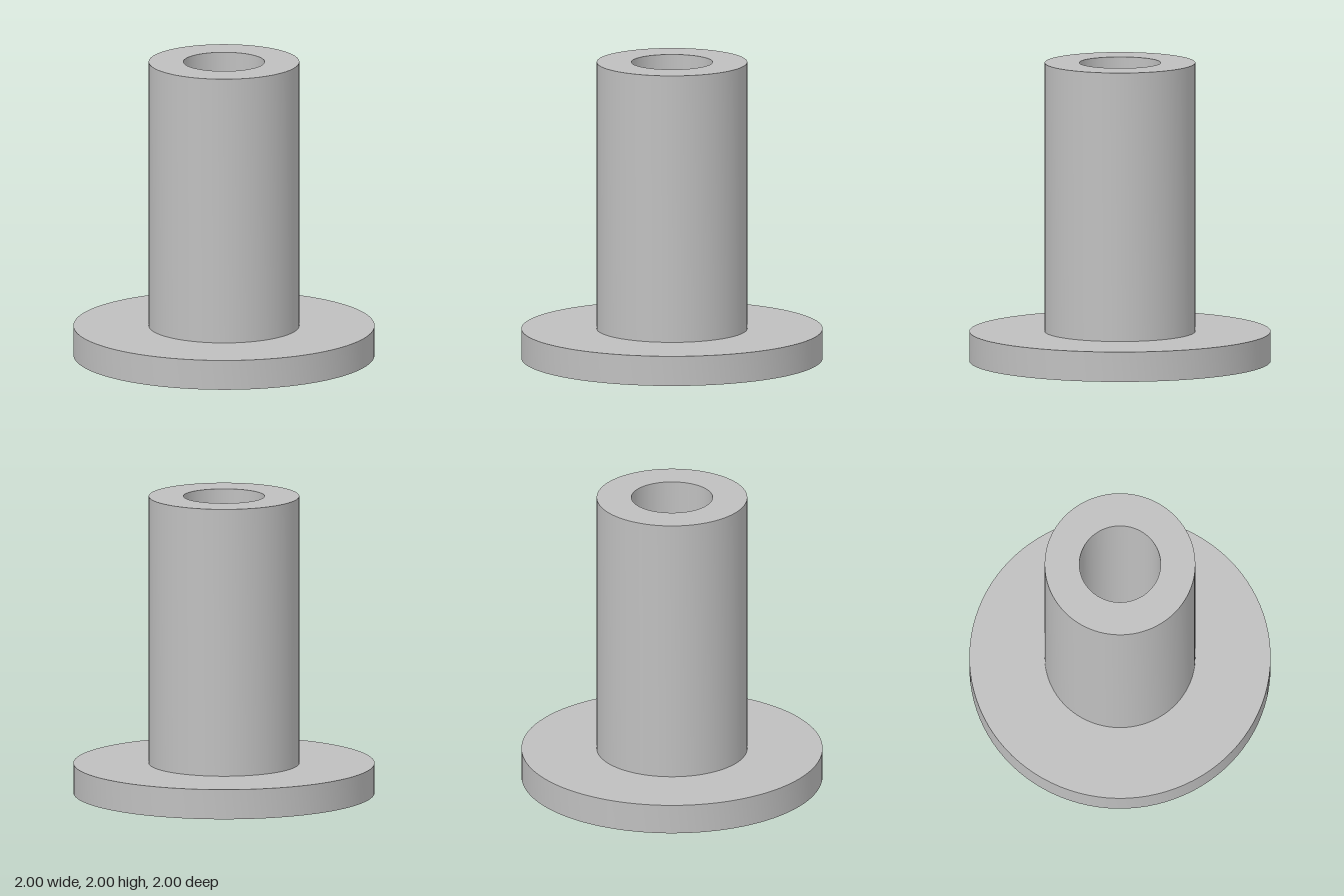
import * as THREE from 'three';
import { toCreasedNormals } from 'three/addons/utils/BufferGeometryUtils.js';

const FLANGE_RADIUS = 1;
const FLANGE_TOP = 0.2;
const BARREL_RADIUS = 0.5;
const BORE_RADIUS = 0.27;
const HEIGHT = 2;

// Revolve a profile of [radius, height] points, keeping its corners sharp
function turned(name, profile, material) {
  const points = profile.map(([r, y]) => new THREE.Vector2(r, y));
  const geometry = toCreasedNormals(new THREE.LatheGeometry(points, 96), Math.PI / 6);
  const mesh = new THREE.Mesh(geometry, material);
  mesh.name = name;
  return mesh;
}

export function createModel() {
  const model = new THREE.Group();
  model.name = 'flangedBushing';

  const grey = new THREE.MeshStandardMaterial({ color: 0xbfbfbf });
  grey.name = 'plain grey';

  // Flat round flange with a closed underside
  model.add(turned('flange', [
    [0, 0], [FLANGE_RADIUS, 0], [FLANGE_RADIUS, FLANGE_TOP], [BARREL_RADIUS, FLANGE_TOP],
  ], grey));

  // Upright barrel with a blind bore reaching down to the flange
  model.add(turned('barrel', [
    [BARREL_RADIUS, FLANGE_TOP], [BARREL_RADIUS, HEIGHT],
    [BORE_RADIUS, HEIGHT], [BORE_RADIUS, FLANGE_TOP], [0, FLANGE_TOP],
  ], grey));

  return model;
}
